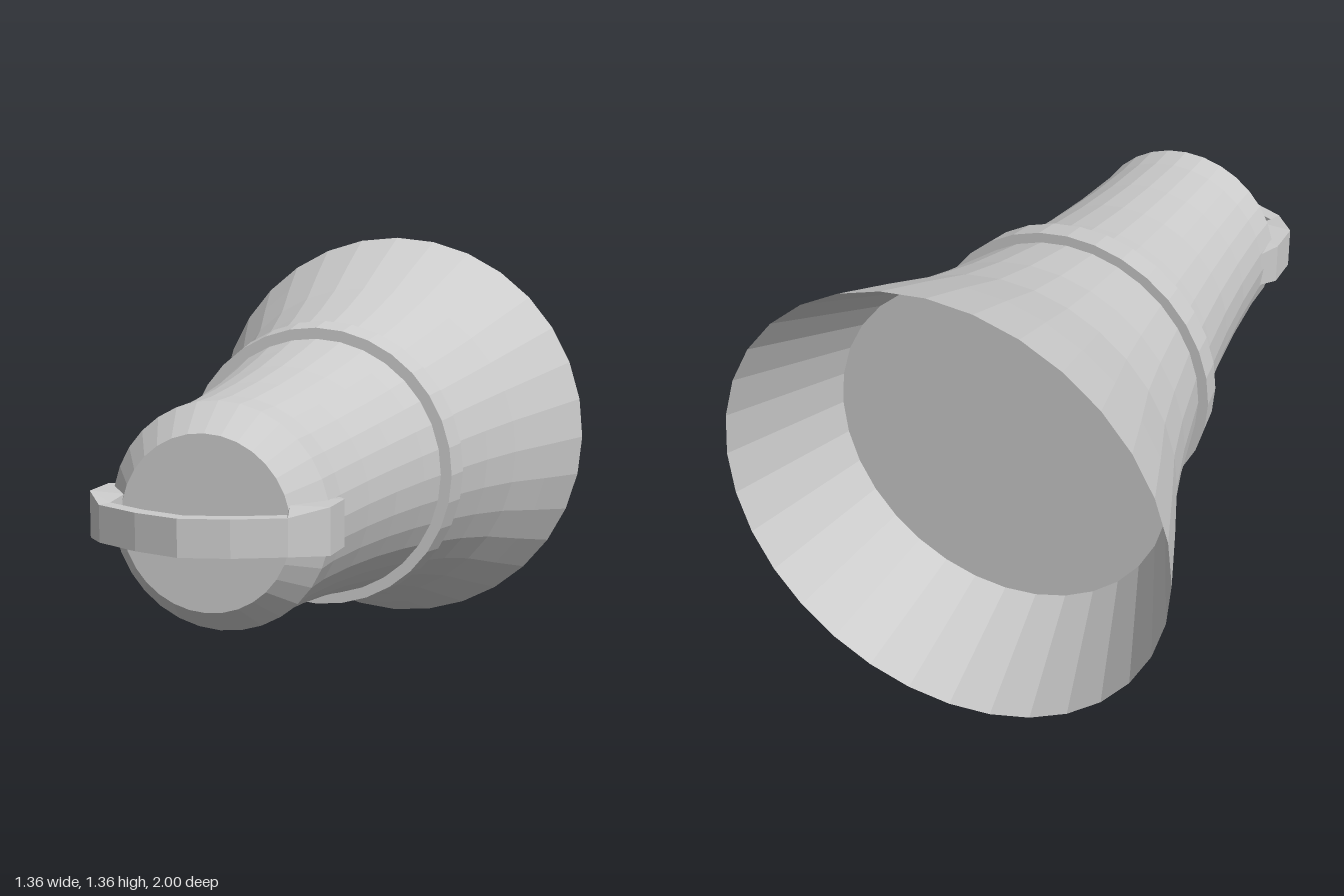
import * as THREE from 'three';

const AXIS_Y = 0.68;
const SIDES = 32;

function material() {
  return new THREE.MeshStandardMaterial({ color: 0xcccccc, flatShading: true });
}

// Revolve [radius, z] pairs about the horizontal z axis
function revolve(name, profile) {
  const geo = new THREE.LatheGeometry(profile.map(([r, z]) => new THREE.Vector2(r, z)), SIDES);
  geo.rotateX(Math.PI / 2);
  geo.translate(0, AXIS_Y, 0);
  const mesh = new THREE.Mesh(geo, material());
  mesh.name = name;
  return mesh;
}

// Strap handle swept from one side, round the front, to the other side
function handle() {
  // outer x, outer z, inner x, inner z, half height
  const half = [
    [0.31, 0.60, 0.28, 0.60, 0.057],
    [0.35, 0.67, 0.26, 0.70, 0.066],
    [0.35, 0.79, 0.24, 0.80, 0.066],
    [0.27, 0.90, 0.255, 0.86, 0.052],
    [0.135, 0.965, 0.13, 0.92, 0.052],
  ];
  const mirrored = half.map(([ox, oz, ix, iz, h]) => [-ox, oz, -ix, iz, h]).reverse();
  const sections = [...half, [0, 1, 0, 0.955, 0.052], ...mirrored];

  const positions = [];
  const index = [];
  sections.forEach(([ox, oz, ix, iz, h], i) => {
    positions.push(ox, AXIS_Y + h, oz, ox, AXIS_Y - h, oz, ix, AXIS_Y - h, iz, ix, AXIS_Y + h, iz);
    if (i === sections.length - 1) return;
    for (let k = 0; k < 4; k++) {
      const a = i * 4 + k;
      const b = i * 4 + (k + 1) % 4;
      index.push(a, a + 4, b + 4, a, b + 4, b);
    }
  });
  const geo = new THREE.BufferGeometry();
  geo.setAttribute('position', new THREE.Float32BufferAttribute(positions, 3));
  geo.setIndex(index);
  geo.computeVertexNormals();
  const mesh = new THREE.Mesh(geo, material());
  mesh.name = 'handle';
  return mesh;
}

export function createModel() {
  const group = new THREE.Group();
  group.name = 'flaredHorn';

  // Recessed disc, inner flare, outer flare, barrel and chamfered front cap
  group.add(revolve('body', [
    [0, -0.64], [0.52, -0.64], [0.68, -1],
    [0.605, -0.8], [0.53, -0.61], [0.478, -0.43], [0.425, -0.2],
    [0.388, 0], [0.358, 0.2], [0.336, 0.4], [0.322, 0.6],
    [0.322, 0.705], [0.247, 0.81], [0, 0.81],
  ]));

  // Raised band round the barrel
  group.add(revolve('band', [
    [0.40, -0.2], [0.456, -0.2], [0.443, -0.11], [0.395, -0.11],
  ]));

  group.add(handle());
  return group;
}
